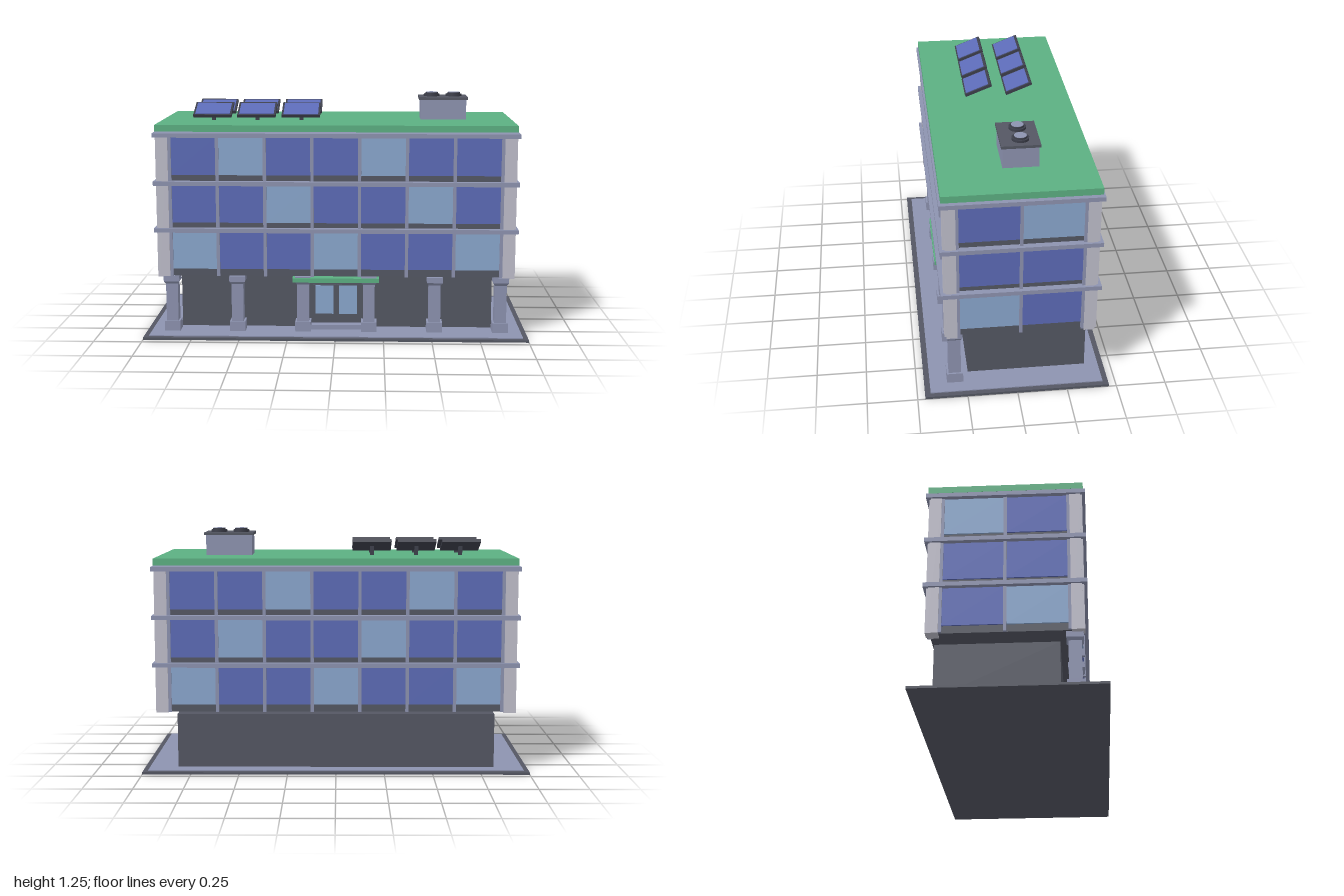
import * as THREE from 'three';

const mat = (name, color) => {
  const m = new THREE.MeshStandardMaterial({ color });
  m.name = name;
  return m;
};

export function createModel() {
  const model = new THREE.Group();
  model.name = 'officeBuilding';
  const stone = mat('lavender stone', 0x8d93b0);
  const pale = mat('pale pillar', 0xbfbecb);
  const dark = mat('dark wall', 0x545763);
  const frame = mat('dark frame', 0x3d3f4b);
  const green = mat('green roof', 0x5cb082);
  const blue = mat('blue glass', 0x5c6bb7);
  const light = mat('light glass', 0x8aa7ce);

  const add = (parent, name, geo, material, x = 0, y = 0, z = 0) => {
    const mesh = new THREE.Mesh(geo, material);
    mesh.name = name;
    mesh.position.set(x, y, z);
    parent.add(mesh);
    return mesh;
  };
  // Box given by its limits on each axis
  const box = (parent, name, material, x0, x1, y0, y1, z0, z1) =>
    add(parent, name, new THREE.BoxGeometry(x1 - x0, y1 - y0, z1 - z0), material,
      (x0 + x1) / 2, (y0 + y1) / 2, (z0 + z1) / 2);
  const group = (name, x = 0, y = 0, z = 0) => {
    const g = new THREE.Group();
    g.name = name;
    g.position.set(x, y, z);
    model.add(g);
    return g;
  };

  // Ground plate and paving
  box(model, 'groundPlate', dark, -1, 1, 0, 0.012, -0.462, 0.462);
  box(model, 'paving', stone, -0.973, 0.973, 0.012, 0.017, -0.434, 0.434);

  // Recessed ground floor
  box(model, 'groundFloor', dark, -0.825, 0.825, 0.017, 0.298, -0.364, 0.236);

  // Upper storeys, centred slightly behind the middle of the plot
  const upper = group('upperStoreys', 0, 0, -0.021);
  const HX = 0.91, HZ = 0.355, bottom = 0.315;
  box(upper, 'upperBody', dark, -HX, HX, bottom, 1.05, -HZ, HZ);
  const slabTops = [0.572, 0.818, 1.068];
  for (const y of slabTops) box(upper, 'floorSlab', stone, -0.944, 0.944, y - 0.022, y, -0.391, 0.391);

  // Window bays: front and back have seven, the ends have two
  const bayX = 0.2455, bayZ = 0.3065;
  for (const s of [-1, 1]) {
    for (let f = 0; f < 3; f++) {
      const y1 = slabTops[f] - 0.022, y0 = y1 - 0.197;
      for (let i = 0; i < 7; i++) {
        const x = (i - 3) * bayX;
        add(upper, 'longSideWindow', new THREE.BoxGeometry(bayX - 0.012, y1 - y0, 0.008),
          (i + f) % 3 === 0 ? light : blue, x, (y0 + y1) / 2, s * (HZ + 0.004));
      }
      for (let i = 0; i < 2; i++) {
        add(upper, 'endWindow', new THREE.BoxGeometry(0.008, y1 - y0, bayZ - 0.01),
          (i + f) % 3 === 0 ? light : blue, s * (HX + 0.004), (y0 + y1) / 2, (0.5 - i) * bayZ);
      }
    }
    // Mullions
    const h = 1.05 - bottom, my = (1.05 + bottom) / 2;
    for (let i = 0; i < 8; i++)
      add(upper, 'mullion', new THREE.BoxGeometry(0.017, h, 0.02), stone, (i - 3.5) * bayX, my, s * (HZ + 0.006));
    for (let i = 0; i < 3; i++)
      add(upper, 'endMullion', new THREE.BoxGeometry(0.02, h, 0.016), stone, s * (HX + 0.006), my, (1 - i) * bayZ);

    // Notched corner pillars
    for (const t of [-1, 1]) {
      const corner = (ax, bx, az, bz, y0) => box(upper, 'cornerPillar', pale,
        Math.min(s * ax, s * bx), Math.max(s * ax, s * bx), y0, 1.05,
        Math.min(t * az, t * bz), Math.max(t * az, t * bz));
      corner(0.867, 0.932, 0.313, 0.366, 0.31);
      corner(0.867, 0.922, 0.313, 0.376, bottom);
    }
  }

  // Green roof deck
  box(model, 'roofDeck', green, -0.932, 0.932, 1.076, 1.11, -0.402, 0.36);

  // Portico columns
  for (const x of [-0.863, -0.518, -0.173, 0.173, 0.518, 0.863]) {
    const col = group('column', x, 0, 0.306);
    box(col, 'columnBase', stone, -0.041, 0.041, 0.017, 0.07, -0.041, 0.041);
    box(col, 'columnShaft', stone, -0.031, 0.031, 0.07, 0.28, -0.031, 0.031);
    const flare = new THREE.CylinderGeometry(0.041 * Math.SQRT2, 0.031 * Math.SQRT2, 0.014, 4).rotateY(Math.PI / 4);
    flare.computeVertexNormals();
    add(col, 'capitalFlare', flare.toNonIndexed(), stone, 0, 0.277, 0).geometry.computeVertexNormals();
    box(col, 'capital', stone, -0.041, 0.041, 0.284, 0.313, -0.041, 0.041);
  }

  // Entrance
  const entrance = group('entrance');
  box(entrance, 'entranceStep', stone, -0.19, 0.19, 0.017, 0.042, 0.236, 0.3);
  box(entrance, 'doorFrame', dark, -0.135, 0.135, 0.042, 0.275, 0.236, 0.253);
  for (const s of [-1, 1]) {
    add(entrance, 'doorLeaf', new THREE.BoxGeometry(0.122, 0.205, 0.006), dark, s * 0.063, 0.15, 0.255);
    add(entrance, 'doorGlass', new THREE.BoxGeometry(0.096, 0.155, 0.005), light, s * 0.063, 0.17, 0.2585);
  }
  box(entrance, 'canopy', green, -0.227, 0.227, 0.285, 0.308, 0.236, 0.358);

  // Solar panels, rising towards the back
  for (const z of [-0.133, 0.083]) {
    for (const x of [-0.658, -0.425, -0.19]) {
      const unit = group('solarPanel', x, 0, z);
      box(unit, 'panelPost', frame, -0.01, 0.01, 1.11, 1.158, -0.005, 0.015);
      const tilt = new THREE.Group();
      tilt.name = 'panelTilt';
      tilt.position.set(0, 1.164, 0);
      tilt.rotation.x = 0.375;
      unit.add(tilt);
      add(tilt, 'panelFrame', new THREE.BoxGeometry(0.203, 0.015, 0.15), frame);
      add(tilt, 'panelCells', new THREE.BoxGeometry(0.183, 0.004, 0.128), blue, 0, 0.0085, 0.003);
    }
  }

  // Rooftop ventilation unit
  const vent = group('ventilationUnit', 0.567, 0, -0.044);
  box(vent, 'ventBody', stone, -0.121, 0.121, 1.11, 1.216, -0.089, 0.089);
  box(vent, 'ventCap', dark, -0.13, 0.13, 1.216, 1.23, -0.096, 0.096);
  for (const s of [-1, 1]) {
    add(vent, 'fanCollar', new THREE.CylinderGeometry(0.043, 0.043, 0.012, 20), frame, s * 0.059, 1.236, -0.004);
    add(vent, 'fanRing', new THREE.CylinderGeometry(0.034, 0.034, 0.008, 20), frame, s * 0.059, 1.246, -0.004);
    add(vent, 'fanDisc', new THREE.CylinderGeometry(0.031, 0.031, 0.003, 20), stone, s * 0.059, 1.2505, -0.004);
  }
  return model;
}
